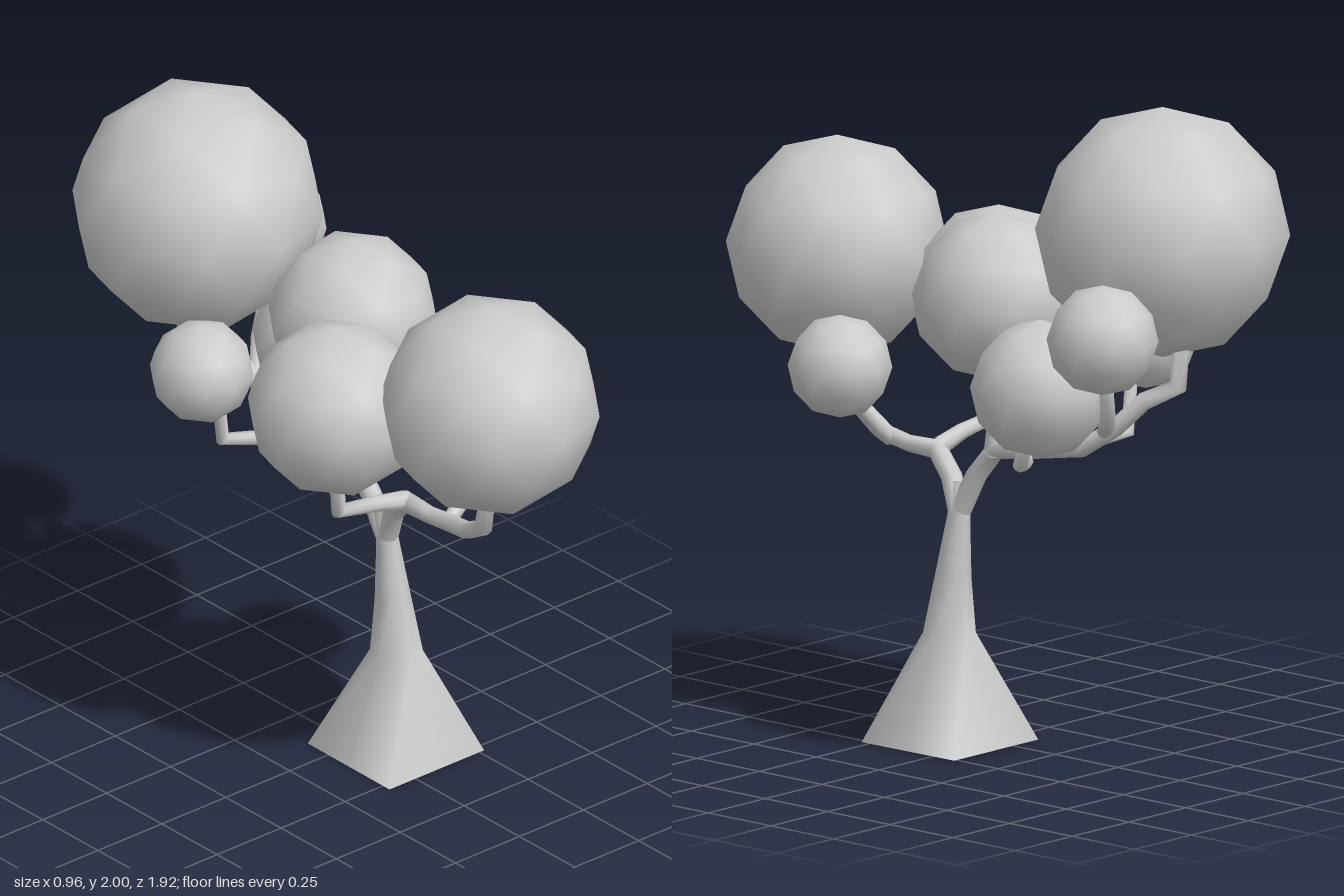
import * as THREE from 'three';

const SIDES = 8;

// Tapered limb through rows of [x, y, z, radius, cornerFactor]; a corner factor of sqrt(2) makes a square ring
function loft(rows) {
  const centres = rows.map(([x, y, z]) => new THREE.Vector3(x, y, z));
  const positions = [];
  const index = [];
  const frame = new THREE.Quaternion();
  const lastDir = new THREE.Vector3(0, 1, 0);
  rows.forEach(([, , , radius, corner = 1], i) => {
    const before = centres[Math.max(i - 1, 0)];
    const after = centres[Math.min(i + 1, rows.length - 1)];
    const dir = after.clone().sub(before).normalize();
    frame.premultiply(new THREE.Quaternion().setFromUnitVectors(lastDir, dir));
    lastDir.copy(dir);
    for (let k = 0; k < SIDES; k++) {
      const angle = (k / SIDES) * Math.PI * 2;
      const r = k % 2 ? radius * corner : radius;
      const p = new THREE.Vector3(Math.cos(angle) * r, 0, Math.sin(angle) * r);
      positions.push(...p.applyQuaternion(frame).add(centres[i]).toArray());
    }
  });
  for (let i = 0; i < rows.length - 1; i++) {
    for (let k = 0; k < SIDES; k++) {
      const a = i * SIDES + k;
      const b = i * SIDES + ((k + 1) % SIDES);
      index.push(a, a + SIDES, b, b, a + SIDES, b + SIDES);
    }
  }
  // closed tip
  const top = (rows.length - 1) * SIDES;
  for (let k = 1; k < SIDES - 1; k++) index.push(top, top + k + 1, top + k);
  const geometry = new THREE.BufferGeometry();
  geometry.setAttribute('position', new THREE.Float32BufferAttribute(positions, 3));
  geometry.setIndex(index);
  geometry.computeVertexNormals();
  return geometry;
}

// Unit ball of 80 faces with one corner straight up and smooth normals
function ballGeometry() {
  const geometry = new THREE.IcosahedronGeometry(1, 1);
  geometry.rotateZ(-Math.atan(2 / (1 + Math.sqrt(5))));
  geometry.setAttribute('normal', geometry.attributes.position.clone());
  return geometry;
}

export function createModel() {
  const model = new THREE.Group();
  model.name = 'tree';
  const material = new THREE.MeshStandardMaterial({ color: 0xcccccc });

  const add = (name, geometry) => {
    const mesh = new THREE.Mesh(geometry, material);
    mesh.name = name;
    model.add(mesh);
    return mesh;
  };

  // Trunk flaring to a square foot
  add('trunk', loft([
    [0.083, 0, 0.095, 0.185, Math.SQRT2],
    [0.083, 0.33, 0.097, 0.07, 1.12],
    [0.08, 0.5, 0.085, 0.052, 1.05],
    [0.075, 0.68, 0.068, 0.035],
    [0.065, 0.79, 0.06, 0.03],
  ]));
  const foot = add('trunkBase', new THREE.PlaneGeometry(0.37, 0.37));
  foot.rotation.x = Math.PI / 2;
  foot.position.set(0.083, 0, 0.095);

  // Branches, each running from its fork into its ball of leaves
  const branches = {
    frontLimb: [
      [0.073, 0.71, 0.068, 0.034], [0.065, 0.8, 0.105, 0.032], [0.055, 0.87, 0.17, 0.032],
      [0.055, 0.87, 0.28, 0.026], [0.05, 0.885, 0.38, 0.027], [0.01, 0.925, 0.5, 0.027],
      [-0.02, 0.99, 0.61, 0.027], [-0.025, 1.14, 0.64, 0.024],
    ],
    frontLeftTwig: [
      [0.055, 0.875, 0.36, 0.024], [0.13, 0.92, 0.345, 0.023],
      [0.22, 0.99, 0.325, 0.02], [0.3, 1.06, 0.31, 0.018],
    ],
    frontRightTwig: [
      [0.055, 0.875, 0.17, 0.03], [-0.06, 0.905, 0.175, 0.025],
      [-0.205, 0.93, 0.17, 0.025], [-0.215, 1.1, 0.165, 0.022],
    ],
    backLimb: [
      [0.073, 0.71, 0.06, 0.034], [0.065, 0.82, 0.005, 0.032], [0.06, 0.91, -0.07, 0.032],
      [0.055, 0.925, -0.2, 0.026], [0.045, 0.96, -0.4, 0.026], [0.03, 1.04, -0.52, 0.028],
      [-0.03, 1.12, -0.58, 0.028], [-0.08, 1.17, -0.67, 0.028], [-0.085, 1.32, -0.68, 0.026],
    ],
    middleTwig: [
      [0.062, 0.89, -0.06, 0.03], [0.065, 0.98, -0.07, 0.026], [0.075, 1.2, -0.06, 0.02],
    ],
    backLeftTwig: [
      [0.035, 1.02, -0.48, 0.024], [0.13, 1.09, -0.58, 0.024],
      [0.25, 1.11, -0.69, 0.024], [0.27, 1.25, -0.7, 0.02],
    ],
    sideLeftTwig: [
      [0.055, 0.915, -0.17, 0.024], [0.14, 0.915, -0.26, 0.023],
      [0.24, 0.93, -0.33, 0.023], [0.235, 1.05, -0.36, 0.02],
    ],
    sideRightTwig: [
      [0.055, 0.925, -0.22, 0.024], [-0.08, 0.94, -0.3, 0.023],
      [-0.21, 0.96, -0.35, 0.022], [-0.24, 1.15, -0.34, 0.02],
    ],
  };
  for (const [name, rows] of Object.entries(branches)) add(name, loft(rows));

  // Leaf balls: [x, y, z, radius]
  const leaves = {
    backCrown: [-0.11, 1.62, -0.58, 0.38],
    frontCrown: [-0.01, 1.41, 0.63, 0.332],
    middleCrown: [0.075, 1.38, -0.09, 0.257],
    rightCrown: [-0.23, 1.295, 0.185, 0.267],
    leftCrown: [0.185, 1.16, -0.36, 0.21],
    backLeftPuff: [0.275, 1.375, -0.69, 0.167],
    frontLeftPuff: [0.33, 1.148, 0.31, 0.156],
    backRightPuff: [-0.305, 1.23, -0.335, 0.157],
  };
  const ball = ballGeometry();
  for (const [name, [x, y, z, r]] of Object.entries(leaves)) {
    const mesh = add(name, ball);
    mesh.position.set(x, y, z);
    mesh.scale.setScalar(r);
  }
  return model;
}
